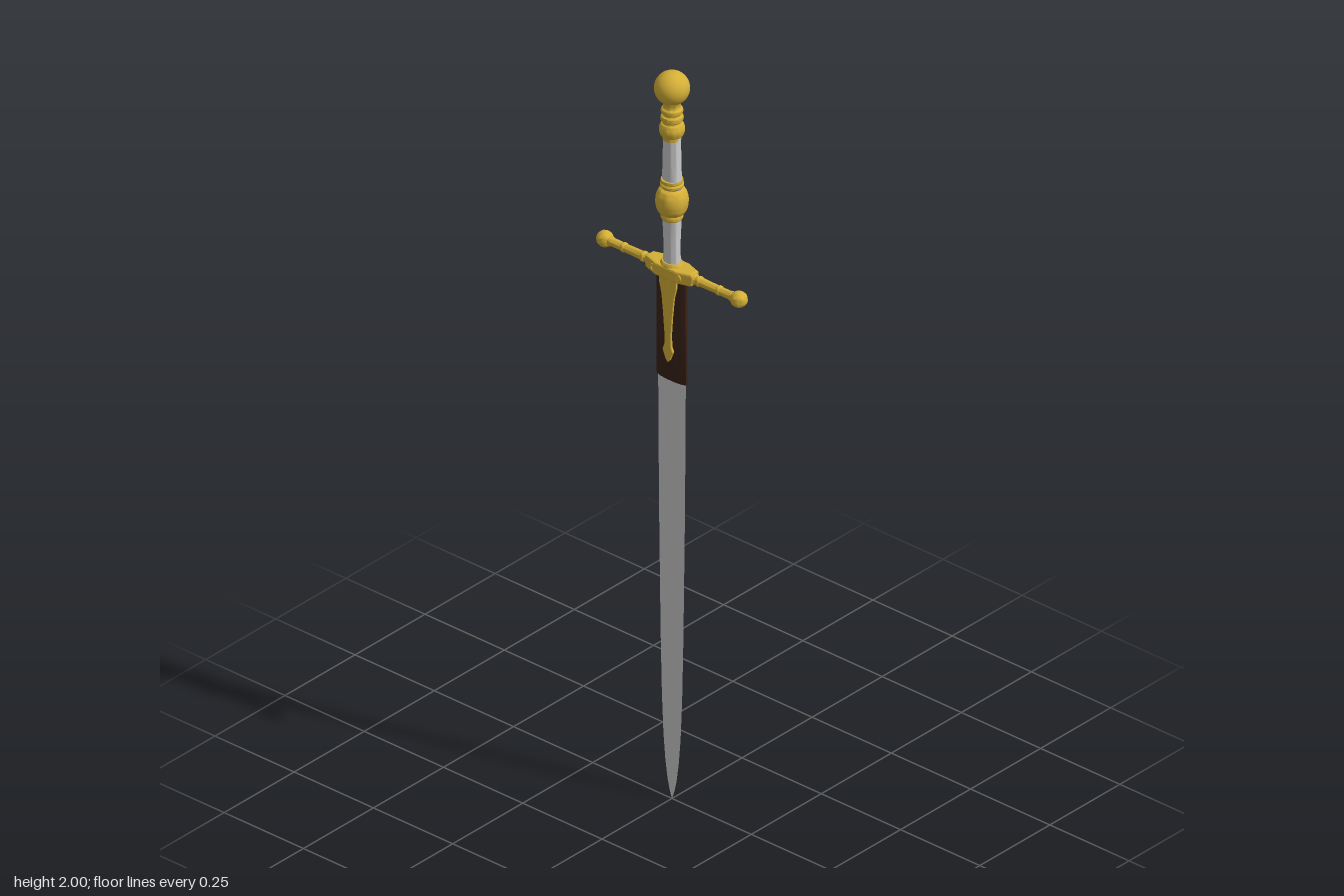
import * as THREE from 'three';
import { toCreasedNormals } from 'three/addons/utils/BufferGeometryUtils.js';

const steel = new THREE.MeshStandardMaterial({ color: 0xcccccc });
const gold = new THREE.MeshStandardMaterial({ color: 0xd4af37 });
const leather = new THREE.MeshStandardMaterial({ color: 0x3a2218 });

function add(parent, name, geometry, material, x = 0, y = 0, z = 0) {
  const mesh = new THREE.Mesh(geometry, material);
  mesh.name = name;
  mesh.position.set(x, y, z);
  parent.add(mesh);
  return mesh;
}

// Turned part from [radius, height] pairs, with sharp edges kept
function turned(points, segments = 32) {
  const profile = points.map(([r, y]) => new THREE.Vector2(r, y));
  return toCreasedNormals(new THREE.LatheGeometry(profile, segments), 0.6);
}

// Half circle profile bulging outwards between two heights
function bulge(radius, y, halfHeight, inner = 0, steps = 8) {
  return Array.from({ length: steps + 1 }, (_, i) => {
    const a = -Math.PI / 2 + (Math.PI * i) / steps;
    return [inner + (radius - inner) * Math.max(0, Math.cos(a)), y + halfHeight * Math.sin(a)];
  });
}

// Solid lofted upwards through [y, halfWidth, halfDepth] rows of one section
function loft(rows, section) {
  const n = section.length, pos = [], idx = [];
  for (const [y, w, d] of rows) for (const [sx, sz] of section) pos.push(sx * w, y, sz * d);
  for (let r = 0; r < rows.length - 1; r++) {
    for (let i = 0; i < n; i++) {
      const a = r * n + i, b = r * n + ((i + 1) % n);
      idx.push(a, a + n, b, b, a + n, b + n);
    }
  }
  // End caps
  for (const [r, up] of [[0, false], [rows.length - 1, true]]) {
    const c = pos.length / 3;
    pos.push(0, rows[r][0], 0);
    for (let i = 0; i < n; i++) {
      const a = r * n + i, b = r * n + ((i + 1) % n);
      idx.push(...(up ? [c, b, a] : [c, a, b]));
    }
  }
  const g = new THREE.BufferGeometry();
  g.setAttribute('position', new THREE.Float32BufferAttribute(pos, 3));
  g.setIndex(idx);
  return toCreasedNormals(g, 0.35);
}

// Bevelled plate from an outline, mirrored in x
function plate(half, depth, bevel) {
  const outline = [...half, ...half.slice().reverse().map(([x, y]) => [-x, y])];
  const shape = new THREE.Shape(outline.map(([x, y]) => new THREE.Vector2(x, y)));
  return new THREE.ExtrudeGeometry(shape, {
    depth: depth - 2 * bevel, bevelThickness: bevel, bevelSize: bevel, bevelOffset: -bevel, bevelSegments: 2,
  }).translate(0, 0, bevel);
}

export function createModel() {
  const dagger = new THREE.Group();
  dagger.name = 'dagger';

  // Blade: sharp edges, bevels and a shallow central fuller
  const bladeSection = [[1, 0], [0.4, 1], [0.28, 0.95], [0, 0.55], [-0.28, 0.95], [-0.4, 1],
    [-1, 0], [-0.4, -1], [-0.28, -0.95], [0, -0.55], [0.28, -0.95], [0.4, -1]];
  add(dagger, 'blade', loft([
    [0, 0.0005, 0.0005], [0.02, 0.007, 0.002], [0.05, 0.014, 0.003], [0.1, 0.021, 0.0035], [0.17, 0.027, 0.004],
    [0.28, 0.032, 0.004], [0.45, 0.036, 0.0045], [0.8, 0.041, 0.005], [1.2, 0.044, 0.006],
  ], bladeSection), steel);

  // Leather throat covering the top of the blade
  const sleeveSection = [[1, 0.25], [0.75, 0.7], [0.3, 1], [-0.3, 1], [-0.75, 0.7], [-1, 0.25],
    [-1, -0.25], [-0.75, -0.7], [-0.3, -1], [0.3, -1], [0.75, -0.7], [1, -0.25]];
  add(dagger, 'leatherSleeve', loft([
    [1.155, 0.044, 0.008], [1.16, 0.046, 0.01], [1.3, 0.046, 0.012], [1.445, 0.045, 0.014],
  ], sleeveSection), leather);

  // Guard
  const guard = new THREE.Group();
  guard.name = 'guard';
  guard.position.y = 1.458;
  dagger.add(guard);

  const block = plate([[0, -0.027], [0.032, -0.027], [0.05, -0.021], [0.072, -0.014],
    [0.072, 0.014], [0.05, 0.021], [0.032, 0.027], [0, 0.027]], 0.034, 0.005);
  add(guard, 'guardBlock', block.rotateX(-Math.PI / 2), gold, 0, -0.017, 0);
  add(guard, 'gripSocket', turned([[0, -0.02], [0.03, -0.02], [0.03, 0.018], [0.026, 0.024], [0, 0.024]]), gold)
    .scale.z = 0.85;

  const arm = turned([[0, 0.05], [0.014, 0.05], [0.014, 0.074], [0.011, 0.077], [0.011, 0.082],
    [0.0135, 0.085], [0.0135, 0.09], [0.0115, 0.093], [0.0105, 0.145], [0.0125, 0.148], [0.0125, 0.153],
    [0.0105, 0.156], [0.011, 0.185], [0.013, 0.192], [0.013, 0.195]], 24);
  const finial = turned([[0.009, 0.192], [0.015, 0.196], [0.0195, 0.203], [0.021, 0.212],
    [0.0185, 0.222], [0.012, 0.229], [0.006, 0.232], [0, 0.234]], 24);
  for (const side of [1, -1]) {
    const half = new THREE.Group();
    half.name = side > 0 ? 'leftArm' : 'rightArm';
    half.rotation.z = -side * Math.PI / 2;
    guard.add(half);
    add(half, 'armRod', arm, gold);
    add(half, 'armFinial', finial, gold);
    // Small scroll bosses on the faces of the block
    for (const face of [1, -1]) {
      add(guard, 'scrollBoss', new THREE.TorusGeometry(0.008, 0.003, 8, 16), gold, side * 0.038, 0, face * 0.023);
    }
  }

  // Pointed gold langets on both faces of the sleeve
  const langet = plate([[0, 1.208], [0.007, 1.216], [0.0165, 1.24], [0.011, 1.256], [0.011, 1.29],
    [0.015, 1.34], [0.02, 1.39], [0.027, 1.42], [0.027, 1.445], [0, 1.445]], 0.01, 0.003);
  for (const face of [1, -1]) {
    const mesh = add(dagger, face > 0 ? 'frontLanget' : 'backLanget', langet, gold, 0, 0, face * 0.007);
    if (face < 0) mesh.rotation.y = Math.PI;
  }

  // Oval steel grip in two sections
  add(dagger, 'lowerGrip', turned([[0.023, 1.47], [0.022, 1.53], [0.025, 1.6], [0.026, 1.625]]), steel).scale.z = 0.8;
  add(dagger, 'upperGrip', turned([[0.026, 1.67], [0.0255, 1.71], [0.024, 1.76], [0.023, 1.835]]), steel).scale.z = 0.82;

  // Gold knob and its collars
  add(dagger, 'gripKnob', turned([
    [0, 1.598], [0.024, 1.598], [0.027, 1.603], [0.027, 1.608], [0.025, 1.613],
    ...bulge(0.04, 1.648, 0.036, 0.022, 14),
    [0.026, 1.686], [0.029, 1.69], [0.029, 1.695], [0.026, 1.699], [0.0275, 1.703], [0.0265, 1.708], [0, 1.708],
  ]), gold);

  // Ringed neck below the pommel
  add(dagger, 'pommelNeck', turned([
    [0, 1.818], [0.023, 1.818], [0.023, 1.825],
    ...bulge(0.031, 1.845, 0.018, 0.023),
    [0.022, 1.866], ...bulge(0.028, 1.876, 0.009, 0.022),
    [0.022, 1.887], ...bulge(0.027, 1.896, 0.008, 0.022),
    [0.021, 1.907], [0.021, 1.915], [0.024, 1.921], [0.024, 1.928], [0, 1.928],
  ]), gold);
  add(dagger, 'pommel', new THREE.SphereGeometry(0.043, 32, 24), gold, 0, 1.957, 0);

  return dagger;
}
